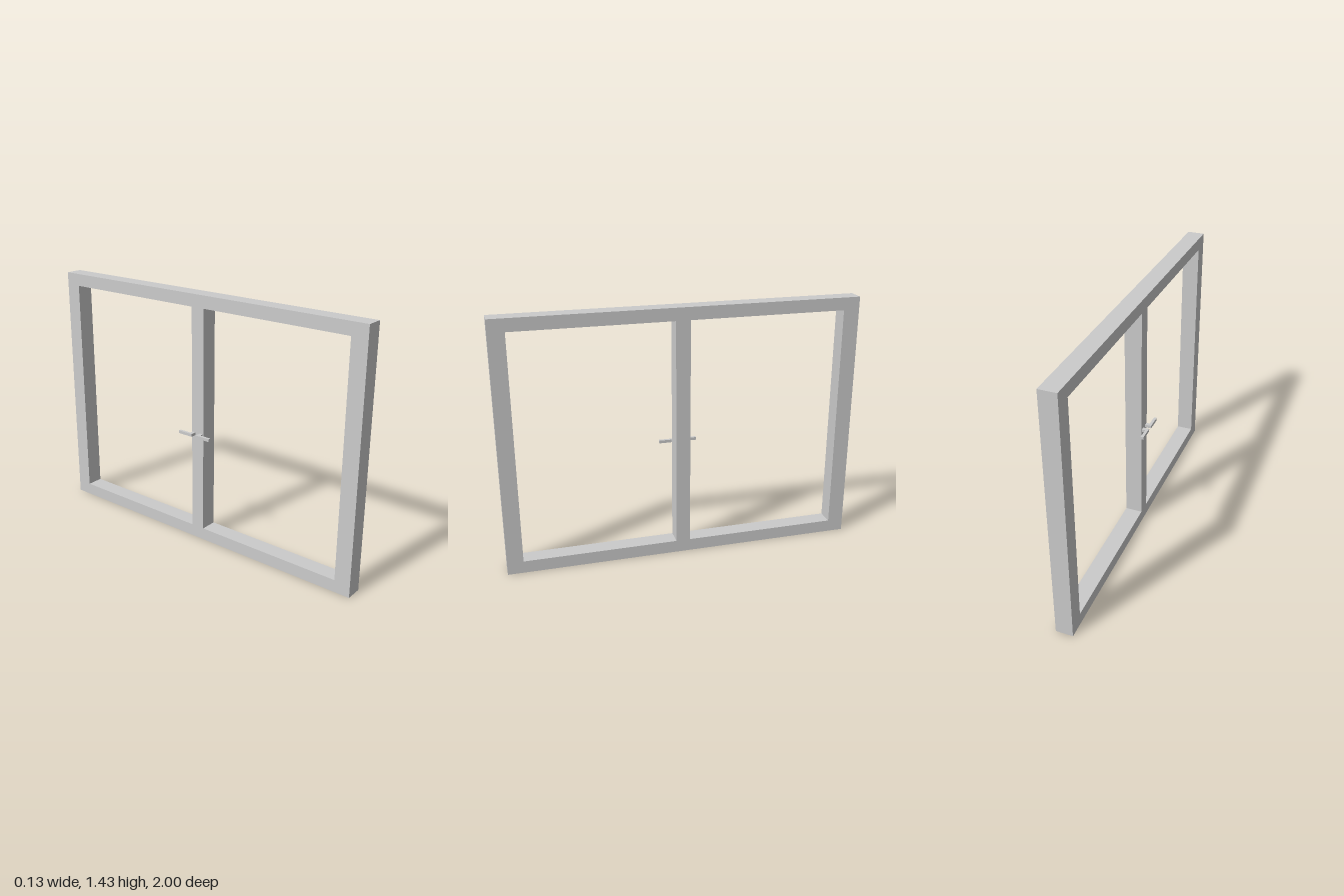
import * as THREE from 'three';

const material = new THREE.MeshStandardMaterial({ color: 0xcccccc, flatShading: true });
const HALF = 1, HEIGHT = 1.43, RAIL = 0.07, JAMB = 0.09, MULLION = 0.04;
const BACK = -0.03, FRONT = 0.066;

const polygon = (points) => new THREE.Shape(points.map(([a, b]) => new THREE.Vector2(a, b)));
const rect = (a0, b0, a1, b1) => polygon([[a0, b0], [a1, b0], [a1, b1], [a0, b1]]);

// One-piece surround and centre mullion with two openings, extruded along x
function buildFrame() {
  const shape = rect(-HALF, 0, HALF, HEIGHT);
  shape.holes.push(
    rect(MULLION, RAIL, HALF - JAMB, HEIGHT - RAIL),
    rect(JAMB - HALF, RAIL, -MULLION, HEIGHT - RAIL)
  );
  const geometry = new THREE.ExtrudeGeometry(shape, { depth: FRONT - BACK, bevelEnabled: false });
  geometry.rotateY(Math.PI / 2).translate(BACK, 0, 0);
  const frame = new THREE.Mesh(geometry, material);
  frame.name = 'windowFrame';
  return frame;
}

// L-shaped lever: short stem out of the mullion, then a bar pointing outwards
function buildHandle(side) {
  const outline = [
    [BACK, 0.015], [BACK, 0.036], [-0.05, 0.036],
    [-0.05, 0.106], [-0.066, 0.106], [-0.066, 0.015],
  ];
  const shape = polygon(outline.map(([x, z]) => [x, z * side]));
  const geometry = new THREE.ExtrudeGeometry(shape, { depth: 0.016, bevelEnabled: false });
  geometry.rotateX(Math.PI / 2).translate(0, 0.654, 0);
  const handle = new THREE.Mesh(geometry, material);
  handle.name = side > 0 ? 'frontHandle' : 'backHandle';
  return handle;
}

export function createModel() {
  const model = new THREE.Group();
  model.name = 'doubleWindow';
  model.add(buildFrame(), buildHandle(1), buildHandle(-1));
  return model;
}
